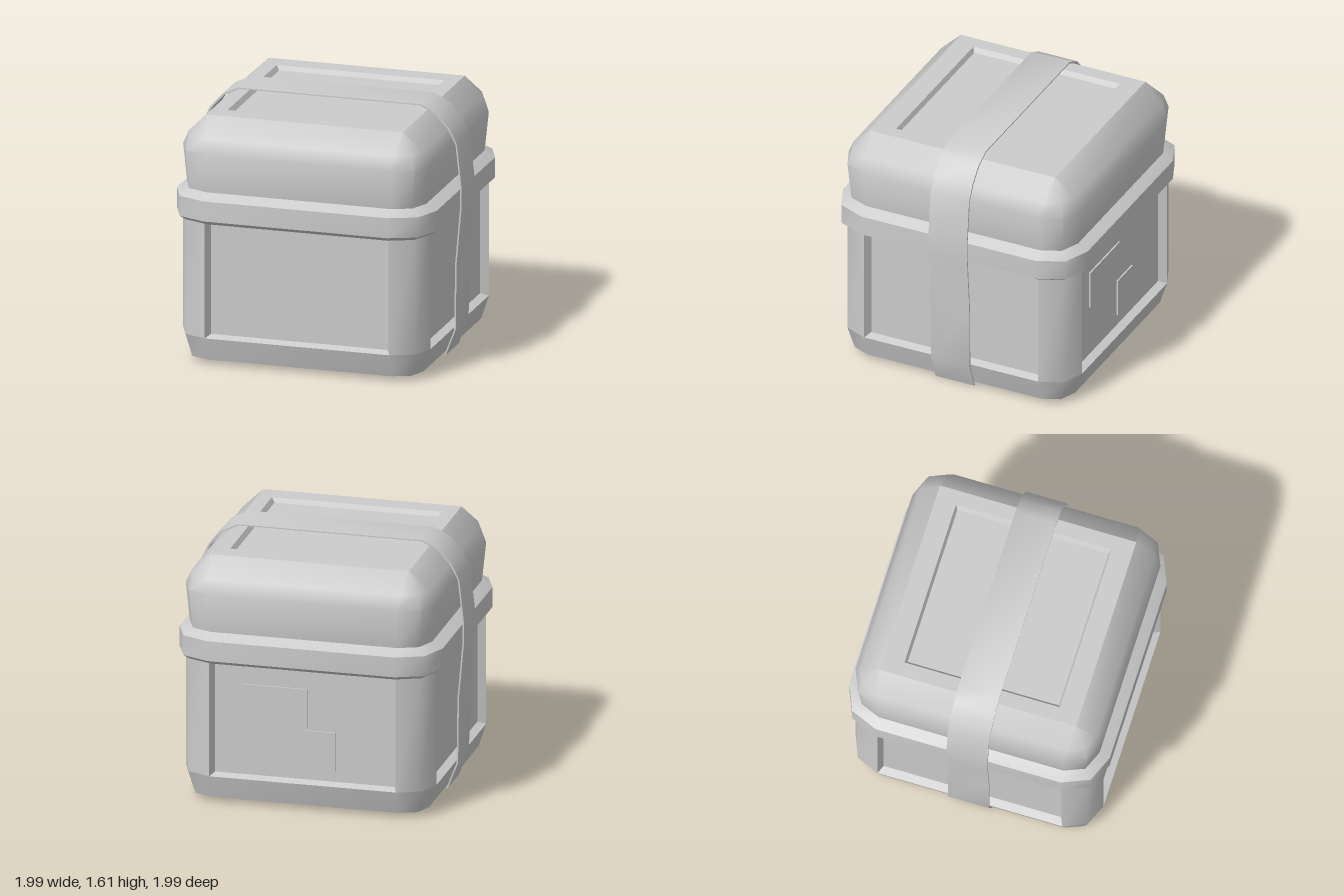
import * as THREE from 'three';
import { toCreasedNormals } from 'three/addons/utils/BufferGeometryUtils.js';

const HALF = 0.805, FLAT = 0.6; // body half width, where the rounded corners begin

function build(triangles, crease) {
  const geo = new THREE.BufferGeometry();
  geo.setAttribute('position', new THREE.Float32BufferAttribute(triangles.flat(2), 3));
  geo.computeVertexNormals();
  return crease ? toCreasedNormals(geo, crease) : geo;
}

// Square with two-segment rounded corners: half width h, corners start at c
function ring([y, h, c = FLAT]) {
  const m = c + (h - c) * Math.SQRT1_2, pts = [];
  let corner = [[h, c], [m, m], [c, h]];
  for (let k = 0; k < 4; k++) {
    corner.forEach(([x, z]) => pts.push([x, y, z]));
    corner = corner.map(([x, z]) => [-z, x]);
  }
  return pts;
}

// Skin between rounded squares; cornersOnly leaves the flat sides open
function loft(rows, { cornersOnly = false, base = false, crease = 0.85 } = {}) {
  const rings = rows.map(ring), tris = [], n = 12;
  for (let r = 0; r + 1 < rings.length; r++) {
    for (let i = 0; i < n; i++) {
      if (cornersOnly && i % 3 === 2) continue;
      const j = (i + 1) % n, lo = rings[r], up = rings[r + 1];
      tris.push([lo[i], up[i], lo[j]], [lo[j], up[i], up[j]]);
    }
  }
  if (base) {
    rings[0].forEach((p, i) => tris.push([[0, rows[0][0], 0], p, rings[0][(i + 1) % n]]));
  }
  return build(tris, crease);
}

// Nested rectangles [half width, half height, z] facing +z, closed by the last one
function recess(rects) {
  const loops = rects.map(([w, h, z]) => [[-w, -h, z], [w, -h, z], [w, h, z], [-w, h, z]]);
  const tris = [];
  for (let r = 0; r + 1 < loops.length; r++) {
    for (let i = 0; i < 4; i++) {
      const j = (i + 1) % 4, a = loops[r], b = loops[r + 1];
      tris.push([a[i], a[j], b[j]], [a[i], b[j], b[i]]);
    }
  }
  const e = loops[loops.length - 1];
  tris.push([e[0], e[1], e[2]], [e[0], e[2], e[3]]);
  return build(tris);
}

export function createModel() {
  const model = new THREE.Group();
  model.name = 'strappedCrate';
  const box = new THREE.Group();
  box.name = 'crate';
  box.rotation.y = -0.335;
  model.add(box);
  const material = new THREE.MeshStandardMaterial({ color: 0xcccccc });
  const add = (name, geo, parent = box) => {
    const mesh = new THREE.Mesh(geo, material);
    mesh.name = name;
    parent.add(mesh);
    return mesh;
  };

  // Body: tapered foot and four rounded corner posts
  add('base', loft([[0.03, 0.757], [0.18, HALF]], { base: true }));
  add('cornerPosts', loft([[0.18, HALF], [0.93, HALF]], { cornersOnly: true }));

  // Recessed panel on each side
  for (let k = 0; k < 4; k++) {
    const side = new THREE.Group();
    side.name = 'side' + (k + 1);
    side.rotation.y = k * Math.PI / 2;
    box.add(side);
    add('sidePanel', recess([[FLAT, 0.375, 0], [0.575, 0.357, -0.05]]), side)
      .position.set(0, 0.555, HALF);
  }

  // Two thin plates on the back panel
  for (const [x, y, w, h] of [[0.19, 0.665, 0.42, 0.25], [-0.095, 0.395, 0.21, 0.25]]) {
    add('backPlate', new THREE.BoxGeometry(w, h, 0.02)).position.set(x, y, -0.755);
  }

  // Rim between body and lid
  add('rim', loft([[0.92, 0.8], [0.95, 0.845]], { crease: 0.85 }));
  add('rim', loft([[0.95, 0.845], [1.08, 0.845]]));
  add('rim', loft([[1.08, 0.845], [1.12, 0.775]]));

  // Lid: flared wall, rounded shoulder, square recessed top
  add('lid', loft([[1.12, 0.778], [1.37, HALF], [1.46, 0.763, 0.62], [1.58, 0.637, 0.637]]));
  const top = add('lidTop', recess([[0.637, 0.637, 0], [0.545, 0.505, 0], [0.525, 0.49, -0.03]]));
  top.rotation.x = -Math.PI / 2;
  top.position.y = 1.58;

  // Strap running over the lid and down both sides
  const half = [[0.755, 0], [0.82, 0.17], [0.826, 0.6], [0.857, 0.95], [0.857, 1.1],
    [0.828, 1.37], [0.78, 1.47], [0.7, 1.56], [0.595, 1.612]];
  const inner = half.map(([x, y], i) => [x - 0.01, i > 5 ? y - 0.008 : y]);
  const mirror = (pts) => pts.map(([x, y]) => [-x, y]);
  const outline = [...half, ...mirror(half).reverse(), ...mirror(inner), ...inner.slice().reverse()];
  const shape = new THREE.Shape(outline.map(([x, y]) => new THREE.Vector2(x, y)));
  const strap = new THREE.ExtrudeGeometry(shape, { depth: 0.266, bevelEnabled: false });
  add('strap', toCreasedNormals(strap, 0.7)).position.z = -0.136;

  return model;
}
